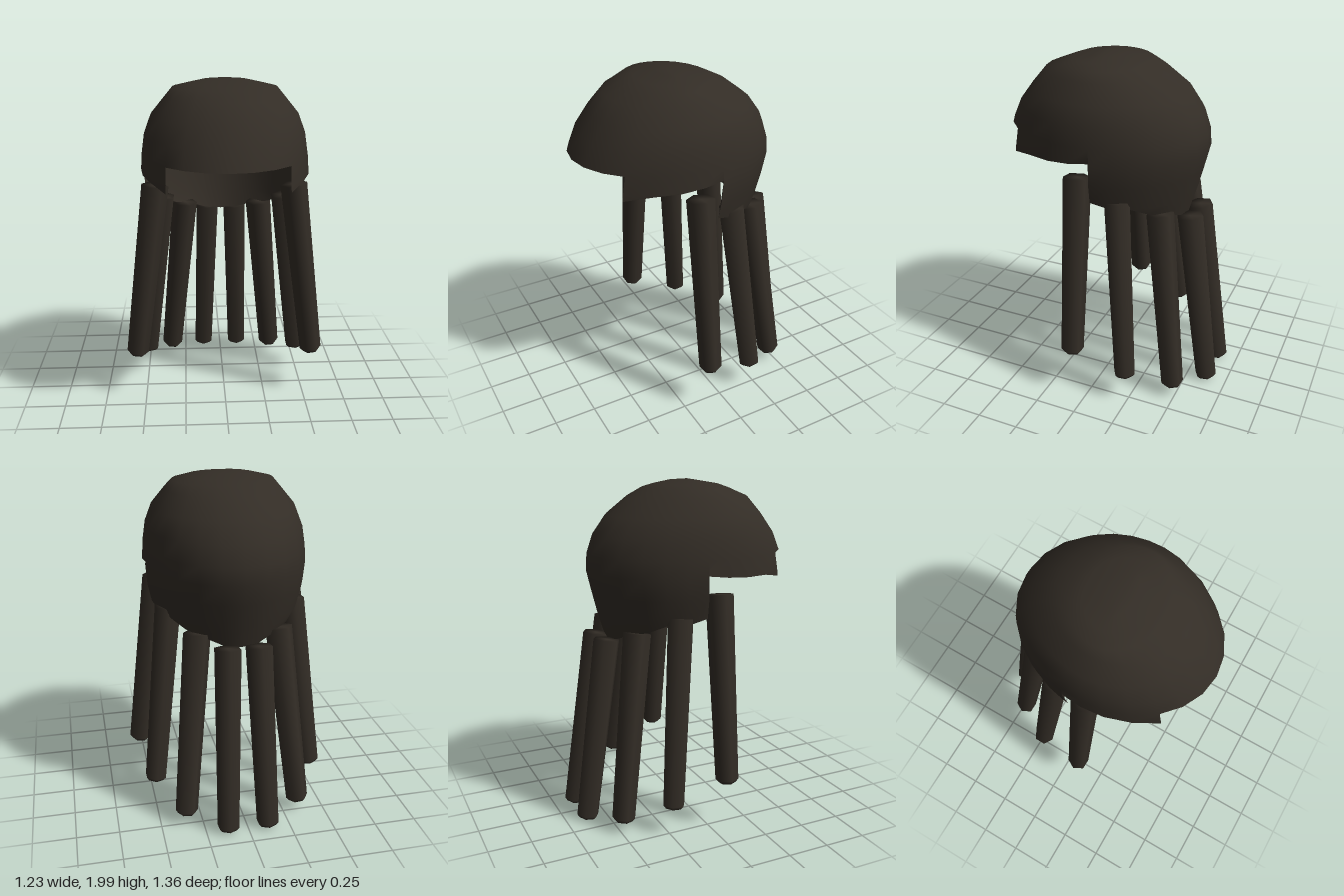
import * as THREE from 'three';
import { mergeVertices } from 'three/addons/utils/BufferGeometryUtils.js';

const material = new THREE.MeshStandardMaterial({ color: 0x332d26, side: THREE.DoubleSide });

// Distance from the crown axis by height, as [y, radius]
const FRONT = [[2, 0], [1.97, 0.18], [1.9, 0.36], [1.71, 0.52], [1.58, 0.58], [1.44, 0.61], [1.09, 0.61]];
const SIDE = [[2, 0], [1.99, 0.13], [1.95, 0.3], [1.78, 0.44], [1.65, 0.475], [1.48, 0.487], [1.38, 0.482], [1.23, 0.45], [1.09, 0.38]];
const BACK = [[2, 0], [1.985, 0.16], [1.93, 0.32], [1.82, 0.48], [1.67, 0.59], [1.52, 0.63], [1.23, 0.56], [1.09, 0.52]];
const ROWS = [2, 1.99, 1.97, 1.95, 1.9, 1.8, 1.69, 1.58, 1.48, 1.36, 1.22, 1.08];

// Lower edge of the cap, as [degrees from the front, y]; a repeated angle makes a step
const RIM = [[0, 1.58], [15, 1.58], [30, 1.58], [44, 1.58], [44, 1.44], [60, 1.47], [75, 1.475], [88, 1.485],
  [99, 1.5], [99, 1.255], [110, 1.22], [122, 1.22], [135, 1.17], [150, 1.14], [165, 1.1], [180, 1.09]];

function radiusAt(table, y) {
  for (let i = 1; i < table.length; i++) {
    const [y0, r0] = table[i - 1], [y1, r1] = table[i];
    if (y >= y1) return r0 + (r1 - r0) * (y0 - y) / (y0 - y1);
  }
  return table[table.length - 1][1];
}

// Open shell of hair: half ellipses at each height, cut off at the rim
function hairCap() {
  const mirrored = RIM.slice(0, -1).reverse().map(([a, y]) => [360 - a, y]);
  const columns = [...RIM, ...mirrored];
  const positions = [], index = [], n = ROWS.length;
  columns.forEach(([degrees, rim], i) => {
    const a = THREE.MathUtils.degToRad(degrees), c = Math.cos(a);
    ROWS.forEach((row, j) => {
      const y = Math.max(row, rim);
      const depth = radiusAt(c >= 0 ? FRONT : BACK, y);
      positions.push(radiusAt(SIDE, y) * Math.sin(a), y, 0.1 + depth * c);
      if (i + 1 < columns.length && j + 1 < n) {
        const p = i * n + j, q = p + n;
        index.push(p, p + 1, q, q, p + 1, q + 1);
      }
    });
  });
  let geometry = new THREE.BufferGeometry();
  geometry.setAttribute('position', new THREE.Float32BufferAttribute(positions, 3));
  geometry.setIndex(index);
  geometry = mergeVertices(geometry, 1e-4);
  geometry.computeVertexNormals();
  return new THREE.Mesh(geometry, material);
}

// Six-sided lock, slightly tapered, with a small bevel at its lower end
function hairLock(top, bottom, turn) {
  const from = new THREE.Vector3(...bottom), axis = new THREE.Vector3(...top).sub(from);
  const length = axis.length();
  const profile = [[0, 0], [0.05, 0], [0.067, 0.02], [0.08, length], [0, length]]
    .map(([r, y]) => new THREE.Vector2(r, y));
  const geometry = new THREE.LatheGeometry(profile, 6, turn);
  const mesh = new THREE.Mesh(geometry, material);
  mesh.position.copy(from);
  mesh.quaternion.setFromUnitVectors(new THREE.Vector3(0, 1, 0), axis.normalize());
  return mesh;
}

export function createModel() {
  const model = new THREE.Group();
  model.name = 'hair';

  const cap = hairCap();
  cap.name = 'hairCap';
  model.add(cap);

  // Four locks on each side: [name, top, bottom, turn]
  const locks = [
    ['sideLock', [0.41, 1.38, 0.105], [0.55, 0.285, 0.1], Math.PI / 6],
    ['rearSideLock', [0.375, 1.255, -0.12], [0.495, 0.165, -0.22], 0],
    ['outerBackLock', [0.24, 1.16, -0.33], [0.345, 0.065, -0.475], Math.PI / 6],
    ['innerBackLock', [0.09, 1.105, -0.46], [0.12, 0.015, -0.62], 0],
  ];
  for (const [name, top, bottom, turn] of locks) {
    for (const s of [1, -1]) {
      const lock = hairLock([s * top[0], top[1], top[2]], [s * bottom[0], bottom[1], bottom[2]], turn);
      lock.name = name + (s > 0 ? 'Left' : 'Right');
      model.add(lock);
    }
  }
  return model;
}
